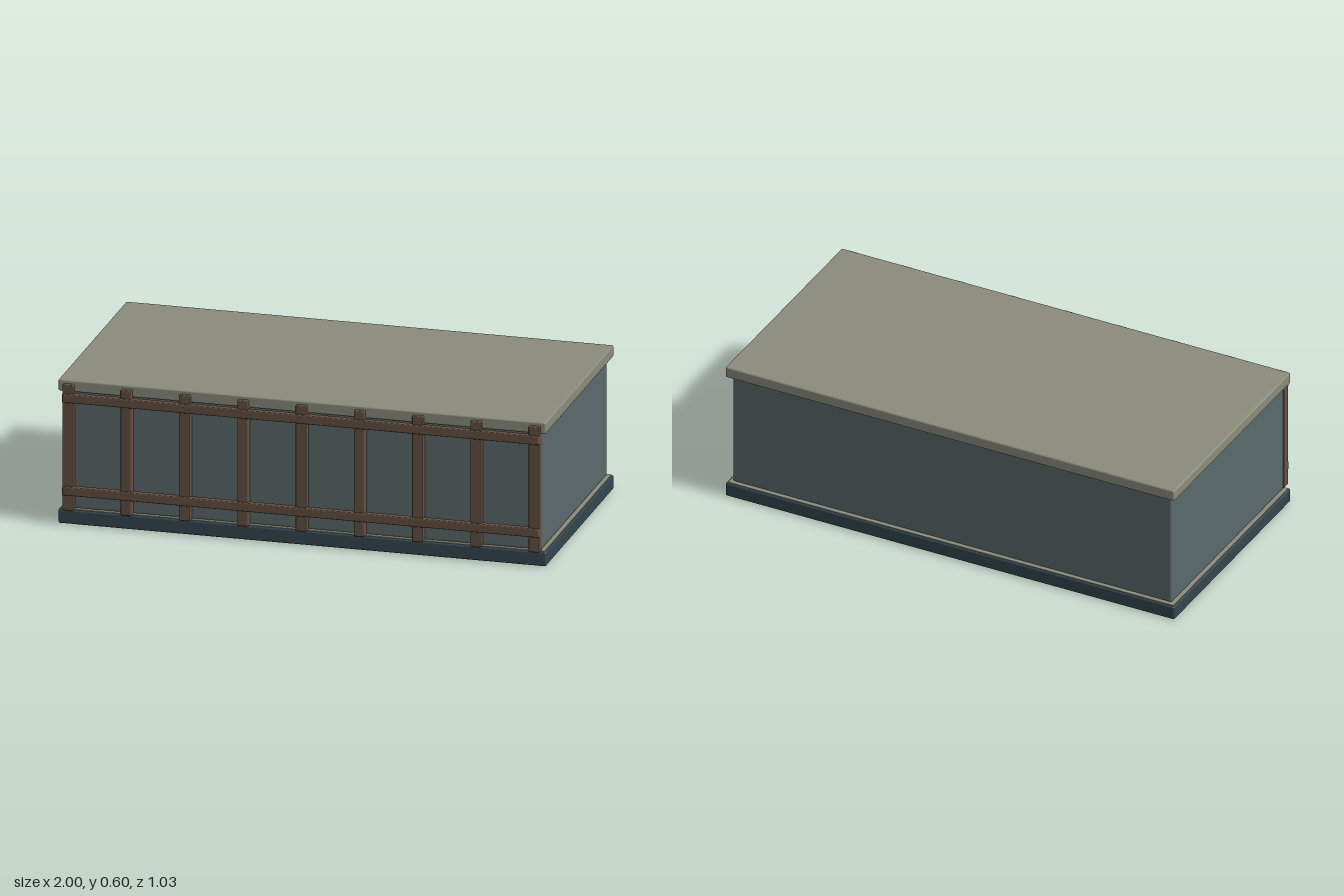
import * as THREE from 'three';
import { RoundedBoxGeometry } from 'three/addons/geometries/RoundedBoxGeometry.js';

const paint = (color) => new THREE.MeshStandardMaterial({ color });

export function createModel() {
  const model = new THREE.Group();
  const olive = paint(0x8a8c7b);
  const slate = paint(0x5b6a6c);
  const dark = paint(0x33464d);
  const wood = paint(0x645041);

  // Softly bevelled box given by its extents on each axis
  function block(name, [x0, x1], [y0, y1], [z0, z1], material, bevel) {
    const geometry = new RoundedBoxGeometry(x1 - x0, y1 - y0, z1 - z0, 2, bevel);
    const mesh = new THREE.Mesh(geometry, material);
    mesh.name = name;
    mesh.position.set((x0 + x1) / 2, (y0 + y1) / 2, (z0 + z1) / 2);
    model.add(mesh);
  }

  // Plinth, thin floor sheet, hall and roof slab
  block('plinth', [-1, 1], [0, 0.059], [-0.513, 0.484], dark, 0.007);
  block('floorSheet', [-0.993, 0.993], [0.055, 0.062], [-0.506, 0.477], olive, 0.001);
  block('walls', [-0.978, 0.978], [0.061, 0.553], [-0.492, 0.466], slate, 0.01);
  block('roof', [-1, 1], [0.552, 0.6], [-0.513, 0.484], olive, 0.007);

  // Timber posts along the front
  const count = 9;
  for (let i = 0; i < count; i++) {
    const x = -0.956 + (i * 1.912) / (count - 1);
    block('frontPost', [x - 0.022, x + 0.022], [0.062, 0.585], [0.466, 0.504], wood, 0.004);
  }

  // Two rails fixed across the posts
  for (const y of [0.145, 0.532]) {
    block('frontRail', [-0.977, 0.977], [y - 0.018, y + 0.018], [0.485, 0.513], wood, 0.004);
  }

  return model;
}
